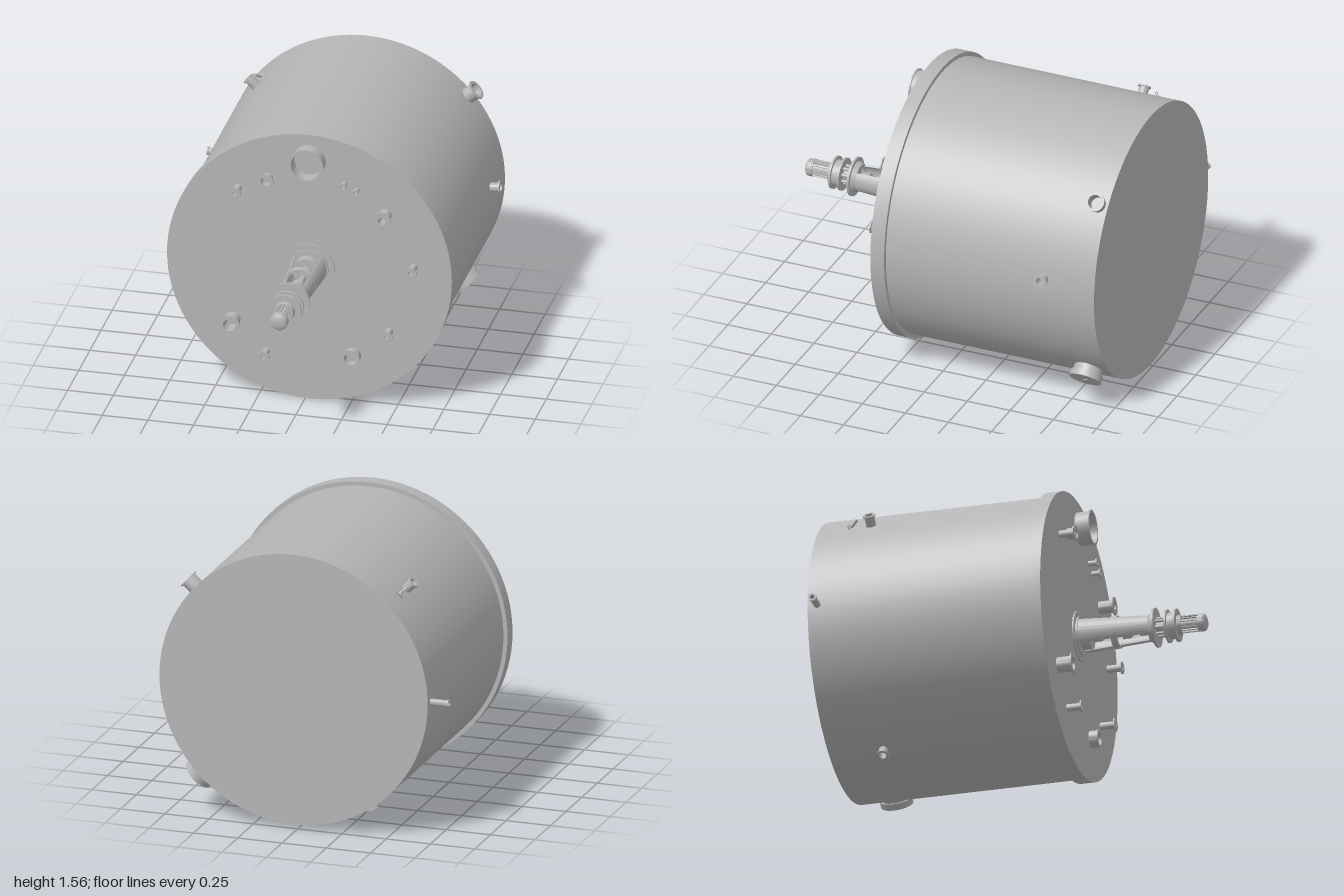
import * as THREE from 'three';
import { toCreasedNormals } from 'three/addons/utils/BufferGeometryUtils.js';

const CX = 0.023, CY = 0.785, LID_Z = 0.29, BODY_R = 0.757;

export function createModel() {
  const model = new THREE.Group();
  model.name = 'tank';
  const steel = new THREE.MeshStandardMaterial({ color: 0xb5b5b5 });
  steel.name = 'steel grey';

  const add = (name, geometry, parent) => {
    const mesh = new THREE.Mesh(geometry, steel);
    mesh.name = name;
    parent.add(mesh);
    return mesh;
  };

  // Turned part around the z axis; profile is a list of [radius, z]
  const turn = (name, profile, parent, segments = 32) => {
    const g = new THREE.LatheGeometry(profile.map(([r, z]) => new THREE.Vector2(r, z)), segments);
    g.rotateX(Math.PI / 2);
    return add(name, toCreasedNormals(g, 0.5), parent);
  };
  const disc = (name, r, z0, z1, parent, segments) =>
    turn(name, [[0, z0], [r, z0], [r, z1], [0, z1]], parent, segments);

  // Open pipe stub with a flange at its outer end
  const nozzle = (name, parent, { pipe, flange, bore, length, start = 0, thick = 0.008 }) =>
    turn(name, [
      [bore, start], [pipe, start], [pipe, length - thick], [flange, length - thick],
      [flange, length], [bore, length], [bore, start],
    ], parent, 28);

  // Everything round the axis hangs in this group
  const axis = new THREE.Group();
  axis.name = 'vessel';
  axis.position.set(CX, CY, 0);
  model.add(axis);

  // Shell and lid
  disc('shell', BODY_R, -1, 0.22, axis, 96);
  disc('lid', 0.78, 0.21, LID_Z, axis, 96);

  // Lid nozzles: x, y, flange radius, pipe radius, bore, length
  [
    [0.022, 1.415, 0.097, 0.090, 0.082, 0.080],
    [-0.206, 1.285, 0.042, 0.030, 0.026, 0.050],
    [-0.368, 1.210, 0.036, 0.020, 0.011, 0.085],
    [0.215, 1.300, 0.023, 0.014, 0.010, 0.050],
    [0.283, 1.270, 0.023, 0.014, 0.010, 0.050],
    [0.440, 1.142, 0.050, 0.034, 0.020, 0.085],
    [0.595, 0.850, 0.034, 0.020, 0.011, 0.085],
    [0.461, 0.455, 0.037, 0.020, 0.011, 0.085],
    [0.260, 0.288, 0.050, 0.046, 0.035, 0.050],
    [-0.213, 0.260, 0.036, 0.020, 0.011, 0.085],
    [-0.396, 0.430, 0.056, 0.042, 0.034, 0.085],
  ].forEach(([x, y, flange, pipe, bore, length], i) => {
    const n = nozzle(`lidNozzle${i + 1}`, model, { pipe, flange, bore, length });
    n.position.set(x, y, LID_Z);
  });

  // Radial fittings on the shell: group whose +z points outward
  const radial = (name, degrees, z) => {
    const g = new THREE.Group();
    const a = THREE.MathUtils.degToRad(degrees);
    const out = new THREE.Vector3(Math.cos(a), Math.sin(a), 0);
    g.name = name;
    g.quaternion.setFromUnitVectors(new THREE.Vector3(0, 0, 1), out);
    g.position.copy(out).multiplyScalar(BODY_R).setZ(z);
    axis.add(g);
    return g;
  };
  [
    ['sidePipe', 180, -0.947, 0.018, 0.023, 0.013, 0.103],
    ['upperRightNozzle', 135, -0.71, 0.027, 0.035, 0.021, 0.060],
    ['upperLeftNozzle', 41, -0.942, 0.044, 0.054, 0.038, 0.060],
    ['leftNozzle', 6.5, -0.705, 0.026, 0.038, 0.021, 0.055],
    ['lowerNozzle', -115, -0.70, 0.025, 0.034, 0.020, 0.048],
  ].forEach(([name, deg, z, pipe, flange, bore, length]) =>
    nozzle(name + 'Pipe', radial(name, deg, z), { pipe, flange, bore, length, start: -0.012 }));

  // Manway with a blind cover and handle
  const manway = radial('manway', -45, -0.872);
  disc('manwayNeck', 0.078, -0.02, 0.035, manway);
  disc('manwayCover', 0.088, 0.03, 0.066, manway);
  const handle = add('manwayHandle', new THREE.BoxGeometry(0.006, 0.006, 0.05), manway);
  handle.geometry.rotateX(Math.PI / 2);
  handle.rotation.z = Math.PI / 2;
  handle.position.z = 0.068;

  // Slanted probe beside the upper right nozzle
  const probe = new THREE.Group();
  probe.name = 'probe';
  probe.position.set(-0.525, 0.53, -0.83);
  probe.quaternion.setFromUnitVectors(
    new THREE.Vector3(0, 0, 1), new THREE.Vector3(-0.5, 0.5, 0.7).normalize());
  disc('probeRod', 0.007, -0.02, 0.07, probe, 12);
  disc('probeFlange', 0.024, 0.008, 0.015, probe, 20);
  axis.add(probe);

  // Agitator mounting
  const agitator = new THREE.Group();
  agitator.name = 'agitator';
  axis.add(agitator);
  turn('mountPlate', [[0, 0.285], [0.138, 0.285], [0.138, 0.298], [0.106, 0.298], [0.106, 0.308], [0, 0.308]], agitator, 48);
  disc('sealHousing', 0.075, 0.3, 0.36, agitator);

  // Lantern legs: arc sections, tapering toward the drive
  const half = 0.78, rIn = 0.085, rOut = 0.1, legLength = 0.41;
  for (const side of [0, Math.PI]) {
    const arc = new THREE.Shape();
    arc.absarc(0, 0, rOut, side - half, side + half, false);
    arc.absarc(0, 0, rIn, side + half, side - half, true);
    const g = new THREE.ExtrudeGeometry(arc, { depth: legLength, bevelEnabled: false, curveSegments: 12, steps: 8 });
    const p = g.attributes.position;
    for (let i = 0; i < p.count; i++) {
      const t = p.getZ(i) / legLength, s = 1 - 0.26 * t;
      p.setXY(i, p.getX(i) * s, p.getY(i) * s);
    }
    g.translate(0, 0, 0.3);
    add('lanternLeg', toCreasedNormals(g, 0.5), agitator);
  }
  const ring = (name, z0, z1, r0, r1, wall) =>
    turn(name, [[r0 - wall, z0], [r0, z0], [r1, z1], [r1 - wall, z1], [r0 - wall, z0]], agitator);
  ring('lanternMiddleRing', 0.482, 0.515, 0.09, 0.088, 0.016);
  ring('lanternTopRing', 0.685, 0.715, 0.075, 0.088, 0.02);

  // Shaft with couplings
  disc('shaft', 0.016, 0.3, 0.75, agitator, 20);
  [[0.40, 0.038], [0.56, 0.040], [0.655, 0.034]].forEach(([z, r]) => {
    disc('coupling', r, z - 0.025, z + 0.018, agitator, 24);
    disc('couplingHub', r * 0.7, z - 0.04, z + 0.035, agitator, 24);
  });

  // Drive flanges and gearbox
  disc('lanternFlange', 0.107, 0.712, 0.724, agitator, 40);
  disc('driveNeck', 0.032, 0.72, 0.79, agitator);
  for (let i = 0; i < 8; i++) {
    const a = (i + 0.5) * Math.PI / 4;
    const stud = disc('driveStud', 0.009, 0.72, 0.79, agitator, 10);
    stud.position.set(0.047 * Math.cos(a), 0.047 * Math.sin(a), 0);
  }
  turn('gearbox', [
    [0, 0.778], [0.09, 0.778], [0.09, 0.79], [0.072, 0.79], [0.072, 0.828],
    [0.09, 0.828], [0.09, 0.84], [0.055, 0.84], [0.05, 0.862], [0, 0.862],
  ], agitator, 40);

  // Ribbed motor with a domed end
  disc('motorCore', 0.039, 0.86, 0.96, agitator);
  for (let i = 0; i < 16; i++) {
    const a = i * Math.PI / 8;
    const fin = add('motorFin', new THREE.BoxGeometry(0.012, 0.005, 0.09), agitator);
    fin.position.set(0.041 * Math.cos(a), 0.041 * Math.sin(a), 0.908);
    fin.rotation.z = a;
  }
  turn('motorCap', [
    [0, 0.952], [0.048, 0.952], [0.048, 0.982], [0.043, 0.99], [0.032, 0.996], [0.016, 0.999], [0, 1],
  ], agitator);

  return model;
}
